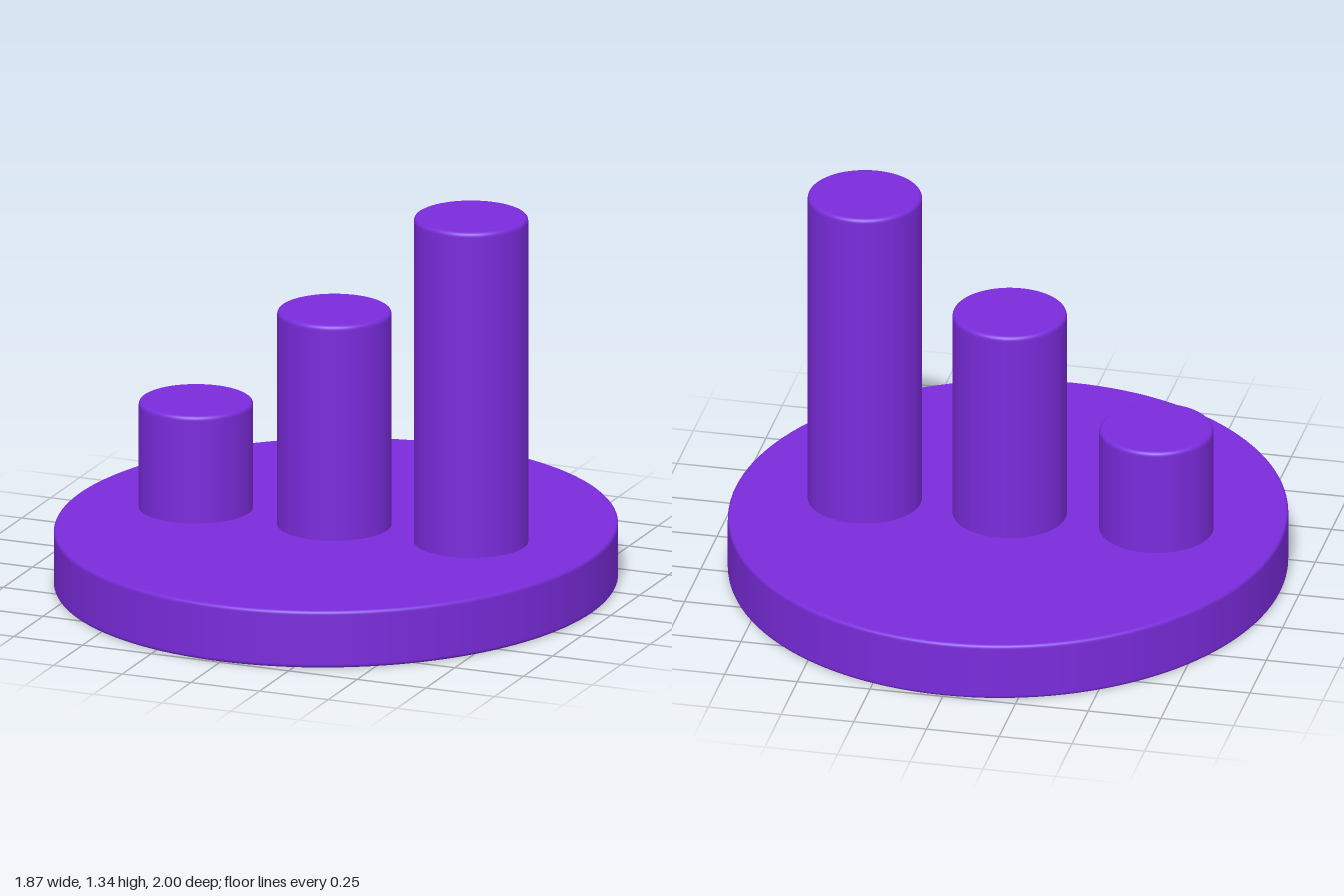
import * as THREE from 'three';

const material = new THREE.MeshStandardMaterial({ color: 0x7a2bdb });

// Solid disc or column standing on y = 0, with softly rounded rims
function roundedCylinder(name, radius, height, bevel, segments) {
  const steps = 5;
  const profile = [new THREE.Vector2(0, 0), new THREE.Vector2(radius - bevel * 1.3, 0)];
  const addRim = (centreY, startAngle) => {
    for (let i = 0; i <= steps; i++) {
      const a = startAngle + (i / steps) * Math.PI / 2;
      profile.push(new THREE.Vector2(radius - bevel + Math.cos(a) * bevel, centreY + Math.sin(a) * bevel));
    }
  };
  addRim(bevel, -Math.PI / 2);
  // extra rings keep the wall and cap shading flat
  profile.push(new THREE.Vector2(radius, bevel * 1.3), new THREE.Vector2(radius, height - bevel * 1.3));
  addRim(height - bevel, 0);
  profile.push(new THREE.Vector2(radius - bevel * 1.3, height), new THREE.Vector2(0, height));
  const mesh = new THREE.Mesh(new THREE.LatheGeometry(profile, segments), material);
  mesh.name = name;
  return mesh;
}

export function createModel() {
  const model = new THREE.Group();
  model.name = 'steppedPegStand';

  // Slightly oval base plate
  const base = roundedCylinder('base', 1, 0.2, 0.012, 128);
  base.scale.x = 0.937;
  model.add(base);

  // Three pegs rising towards +x, sunk a little into the base
  const sunk = 0.1;
  const pegs = [
    ['shortPeg', -0.51, 0.575],
    ['middlePeg', -0.006, 0.953],
    ['tallPeg', 0.492, 1.34],
  ];
  for (const [name, x, top] of pegs) {
    const peg = roundedCylinder(name, 0.192, top - sunk, 0.014, 64);
    peg.position.set(x, sunk, 0);
    model.add(peg);
  }
  return model;
}
